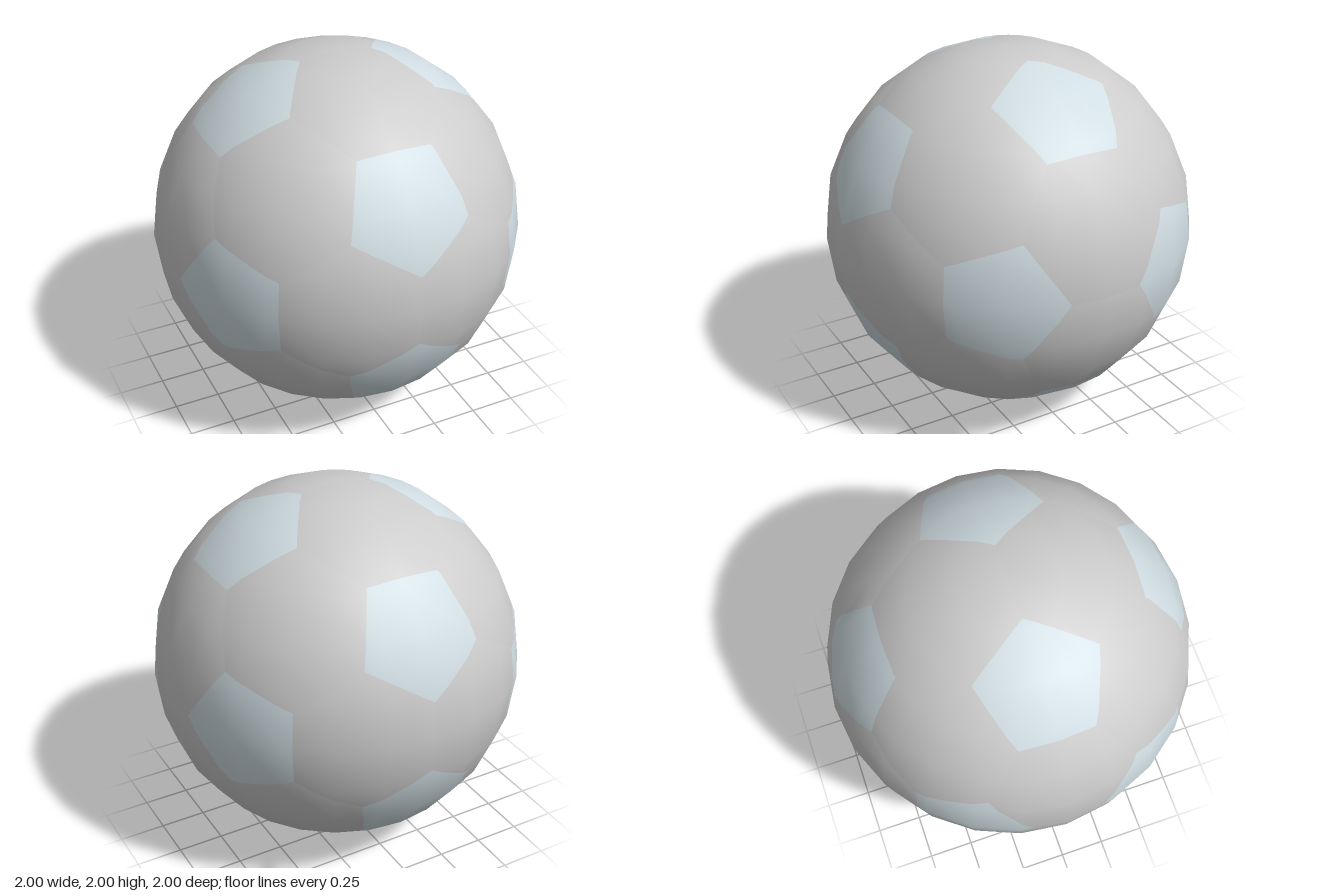
import * as THREE from 'three';

const PHI = (1 + Math.sqrt(5)) / 2;
const hexMaterial = new THREE.MeshStandardMaterial({ color: 0xcccccc });
const pentMaterial = new THREE.MeshStandardMaterial({ color: 0xd0dde2 });

// Keep the part of a polygon on the positive side of a plane through the centre
function clip(poly, n) {
  const out = [];
  poly.forEach((a, i) => {
    const b = poly[(i + 1) % poly.length];
    const da = a.dot(n), db = b.dot(n);
    if (da >= 0) out.push(a);
    if (da * db < 0) out.push(a.clone().lerp(b, da / (da - db)));
  });
  return out;
}

// Plane through the centre and two corners, facing the middle of the panel
function cutPlane(p, q, middle) {
  const n = p.clone().cross(q).normalize();
  return n.dot(middle) < 0 ? n.negate() : n;
}

// Cut one panel out of the faceted sphere
function panel(name, facets, planes, middle, material, puff) {
  const pos = [], nor = [];
  const centre = middle.clone().normalize();
  for (const facet of facets) {
    const poly = planes.reduce((p, n) => clip(p, n), facet);
    for (let i = 1; i < poly.length - 1; i++) {
      for (const v of [poly[0], poly[i], poly[i + 1]]) {
        // normals lean outward a little so that seams catch the light
        const n = v.clone().normalize();
        n.addScaledVector(n.clone().sub(centre), puff).normalize();
        pos.push(v.x, v.y, v.z);
        nor.push(n.x, n.y, n.z);
      }
    }
  }
  const geo = new THREE.BufferGeometry();
  geo.setAttribute('position', new THREE.Float32BufferAttribute(pos, 3));
  geo.setAttribute('normal', new THREE.Float32BufferAttribute(nor, 3));
  const mesh = new THREE.Mesh(geo, material);
  mesh.name = name;
  return mesh;
}

export function createModel() {
  const ball = new THREE.Group();
  ball.name = 'ball';

  // Facets of a 24 x 12 sphere
  const p = new THREE.SphereGeometry(1, 24, 12).toNonIndexed().attributes.position;
  const facets = [];
  for (let i = 0; i < p.count; i += 3) {
    facets.push([0, 1, 2].map((k) => new THREE.Vector3().fromBufferAttribute(p, i + k)));
  }

  // Pentagon centres: corners of an icosahedron
  const tips = [];
  for (const s of [-1, 1]) for (const t of [-PHI, PHI]) {
    tips.push(new THREE.Vector3(0, s, t), new THREE.Vector3(s, t, 0), new THREE.Vector3(t, 0, s));
  }

  // Triangles of neighbouring centres; each holds one hexagon
  const near = (a, b) => a.distanceTo(b) < 2.1;
  const triangles = [];
  for (let i = 0; i < 12; i++) for (let j = i + 1; j < 12; j++) for (let k = j + 1; k < 12; k++) {
    const [a, b, c] = [tips[i], tips[j], tips[k]];
    if (near(a, b) && near(b, c) && near(a, c)) triangles.push([a, b, c]);
  }

  // Side of the pentagon around tip a that lies in triangle abc
  const third = 1 / 3;
  const pentSide = (a, b, c, middle) =>
    cutPlane(a.clone().lerp(b, third), a.clone().lerp(c, third), middle);

  // Pentagon panels
  for (const tip of tips) {
    const planes = triangles.filter((t) => t.includes(tip)).map((t) => {
      const [b, c] = t.filter((v) => v !== tip);
      return pentSide(tip, b, c, tip);
    });
    ball.add(panel('pentagonPanel', facets, planes, tip, pentMaterial, 0));
  }

  // Hexagon panels
  for (const [a, b, c] of triangles) {
    const middle = a.clone().add(b).add(c);
    const planes = [[a, b, c], [b, c, a], [c, a, b]].flatMap(([u, v, w]) => [
      pentSide(u, v, w, middle),
      cutPlane(u, v, middle),
    ]);
    ball.add(panel('hexagonPanel', facets, planes, middle, hexMaterial, 0.06));
  }

  ball.position.y = 1;
  const model = new THREE.Group();
  model.name = 'panelledBall';
  model.add(ball);
  return model;
}
